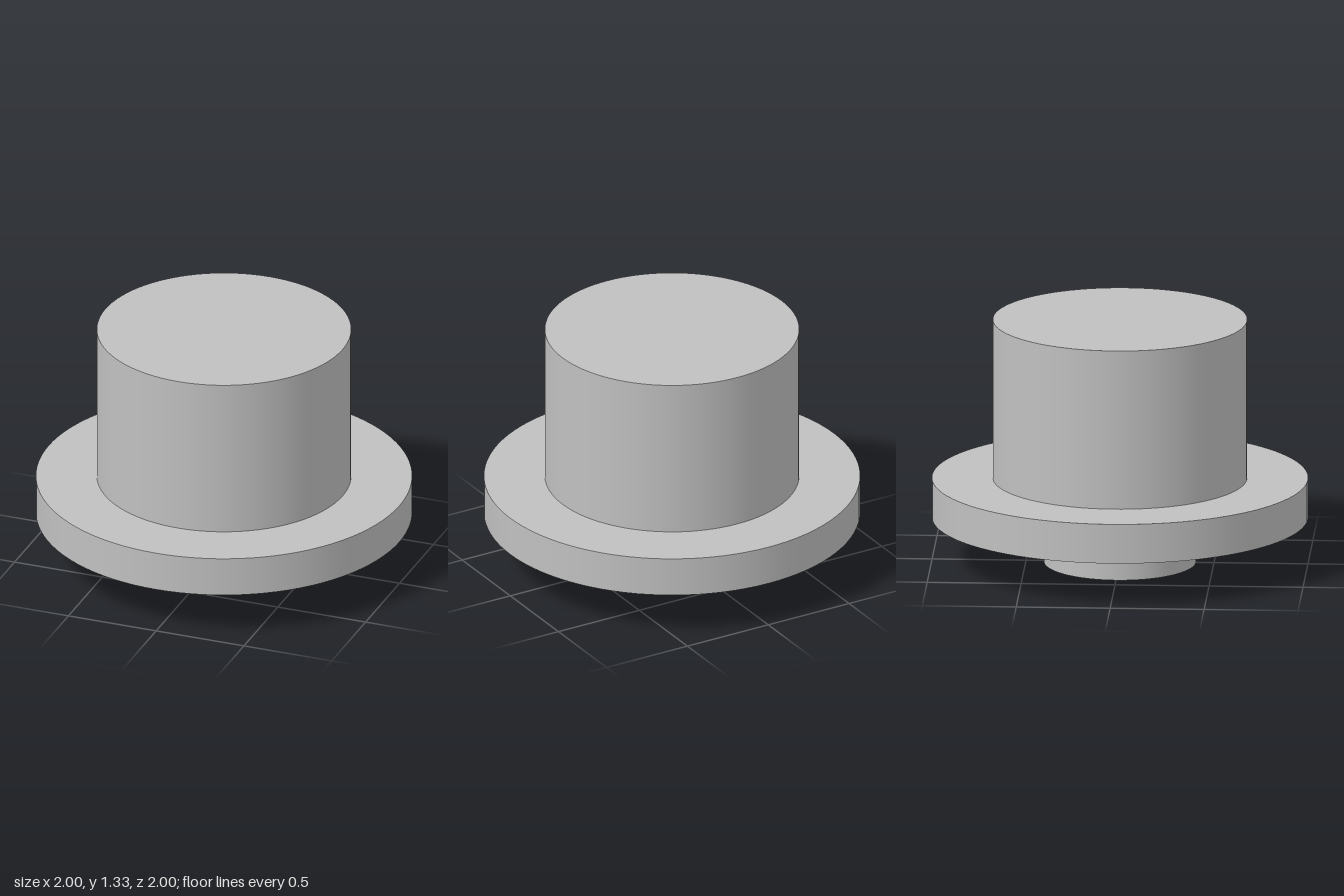
import * as THREE from 'three';

export function createModel() {
  const group = new THREE.Group();
  group.name = 'flangedPlug';
  const grey = new THREE.MeshStandardMaterial({ color: 0xc0c0c0 });
  grey.name = 'grey';

  // Upright disc of a given radius between two heights
  const addDisc = (name, radius, bottom, top) => {
    const geometry = new THREE.CylinderGeometry(radius, radius, top - bottom, 96);
    const mesh = new THREE.Mesh(geometry, grey);
    mesh.name = name;
    mesh.position.y = (bottom + top) / 2;
    group.add(mesh);
  };

  addDisc('stem', 0.404, 0, 0.245); // narrow foot
  addDisc('flange', 1, 0.245, 0.46); // wide rim
  addDisc('body', 0.676, 0.46, 1.328); // tall upper drum

  return group;
}
